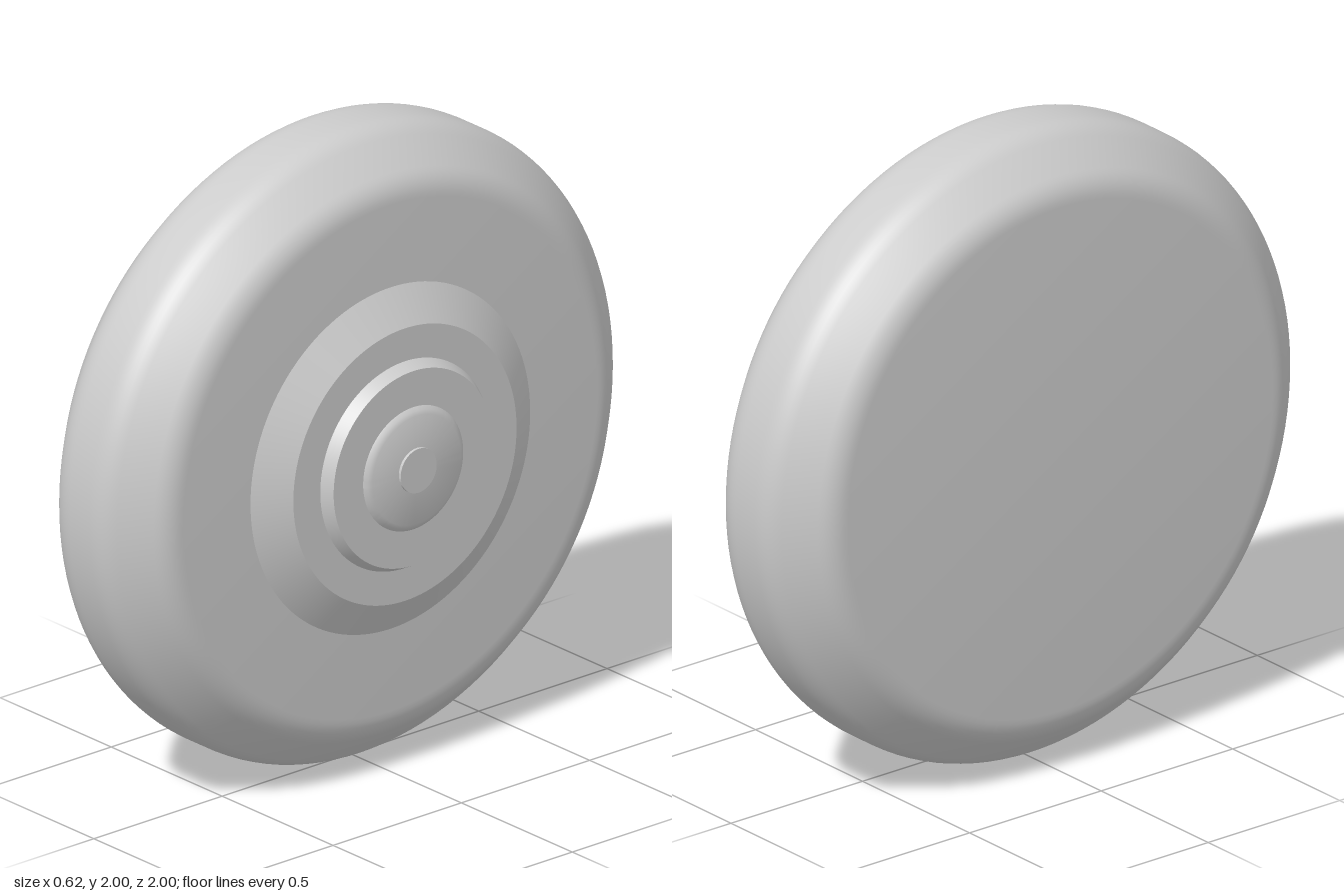
import * as THREE from 'three';
import { toCreasedNormals } from 'three/addons/utils/BufferGeometryUtils.js';

const grey = new THREE.MeshStandardMaterial({ color: 0xcccccc });
const white = new THREE.MeshStandardMaterial({ color: 0xfafafa });

// Replaces each inner corner of a profile by a small curve of the given reach
function roundCorners(points, reach, steps = 6) {
  const out = [points[0]];
  for (let i = 1; i < points.length - 1; i++) {
    const p = points[i];
    const towards = (q) => p.clone().add(q.clone().sub(p).setLength(reach));
    const curve = new THREE.QuadraticBezierCurve(towards(points[i - 1]), p, towards(points[i + 1]));
    out.push(...curve.getPoints(steps));
  }
  out.push(points[points.length - 1]);
  return out;
}

// Turns a profile of [radius, position along x] around the x axis
function turned(name, profile, material = grey, reach = 0) {
  let points = profile.map(([r, x]) => new THREE.Vector2(r, x));
  if (reach) points = roundCorners(points, reach);
  const geometry = toCreasedNormals(new THREE.LatheGeometry(points, 128), 0.45);
  geometry.rotateZ(-Math.PI / 2);
  const mesh = new THREE.Mesh(geometry, material);
  mesh.name = name;
  return mesh;
}

export function createModel() {
  const wheel = new THREE.Group();
  wheel.name = 'wheel';
  wheel.add(
    // Tyre with chamfered, rounded shoulders and flat sides
    turned('tyre', [[0, -0.31], [0.857, -0.31], [1, -0.16], [1, 0.03], [0.857, 0.18], [0, 0.18]], grey, 0.05),
    // Stepped hub on the +x side
    turned('hubCone', [[0.545, 0.18], [0.435, 0.246], [0, 0.246]]),
    turned('hubDisc', [[0.33, 0.246], [0.31, 0.283], [0, 0.283]]),
    turned('hubCap', [[0.195, 0.283], [0.185, 0.293], [0.172, 0.299], [0, 0.299]]),
    turned('axlePin', [[0.07, 0.299], [0.07, 0.308], [0, 0.308]], white)
  );
  wheel.position.y = 1;
  const model = new THREE.Group();
  model.add(wheel);
  return model;
}
